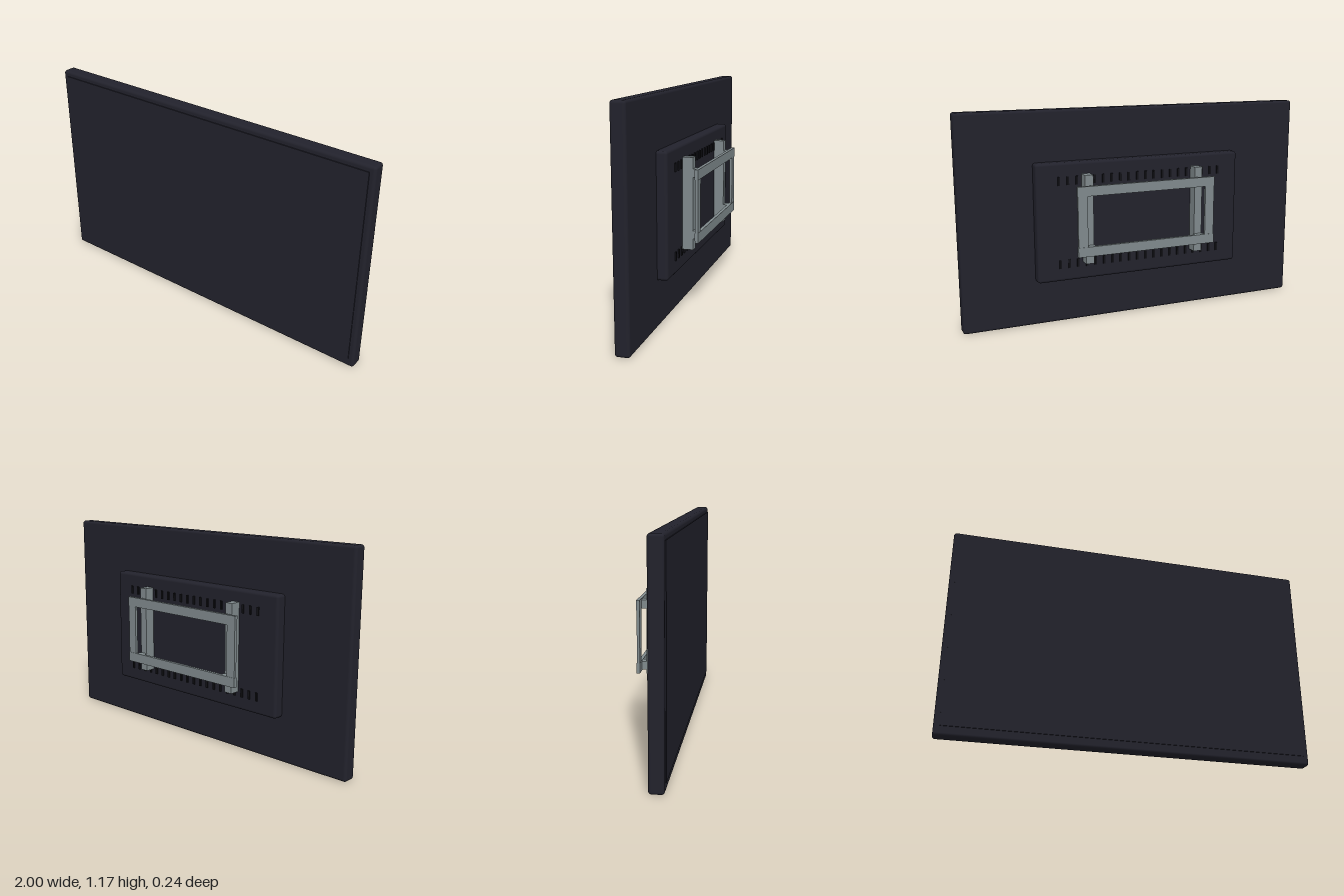
import * as THREE from 'three';
import { RoundedBoxGeometry } from 'three/addons/geometries/RoundedBoxGeometry.js';

export function createModel() {
  const group = new THREE.Group();
  const mat = (name, color) => {
    const m = new THREE.MeshStandardMaterial({ color });
    m.name = name;
    return m;
  };
  const casing = mat('dark casing', 0x22222c);
  const ventBlack = mat('vent black', 0x121216);
  const steel = mat('grey steel', 0x808a8d);

  // Box given by its limits on each axis; a radius rounds the edges
  const box = (name, material, [x0, x1], [y0, y1], [z0, z1], radius = 0) => {
    const size = [x1 - x0, y1 - y0, z1 - z0];
    const geometry = radius
      ? new RoundedBoxGeometry(...size, 3, radius)
      : new THREE.BoxGeometry(...size);
    const mesh = new THREE.Mesh(geometry, material);
    mesh.name = name;
    mesh.position.set((x0 + x1) / 2, (y0 + y1) / 2, (z0 + z1) / 2);
    group.add(mesh);
  };

  // Display body, raised screen and rear housing
  box('displayBody', casing, [-1, 1], [0, 1.17], [0.037, 0.113], 0.015);
  box('screen', casing, [-0.97, 0.97], [0.05, 1.14], [0.1, 0.118]);
  box('rearHousing', casing, [-0.6, 0.6], [0.247, 0.895], [-0.018, 0.06], 0.015);

  // Two rows of vent ribs on the housing
  for (let i = 0; i < 20; i++) {
    const x = -0.475 + i * 0.05;
    for (const y of [0.32, 0.775]) {
      box('ventRib', ventBlack, [x - 0.006, x + 0.006], [y, y + 0.046], [-0.025, -0.015]);
    }
  }

  // Wall mount: rails, spacers and end plates on both sides
  for (const s of [-1, 1]) {
    const x = s * 0.325;
    box('mountRail', steel, [x - 0.023, x + 0.023], [0.345, 0.83], [-0.075, -0.016]);
    for (const y of [0.404, 0.728]) {
      box('mountSpacer', steel, [x - 0.025, x + 0.025], [y, y + 0.044], [-0.102, -0.073]);
    }
    const p = s * 0.376;
    box('wallPlateUpright', steel, [p - 0.027, p + 0.027], [0.44, 0.73], [-0.116, -0.101]);
  }

  // Horizontal wall bars
  for (const y of [0.397, 0.725]) {
    box('wallBar', steel, [-0.405, 0.405], [y, y + 0.053], [-0.118, -0.1]);
  }
  return group;
}
